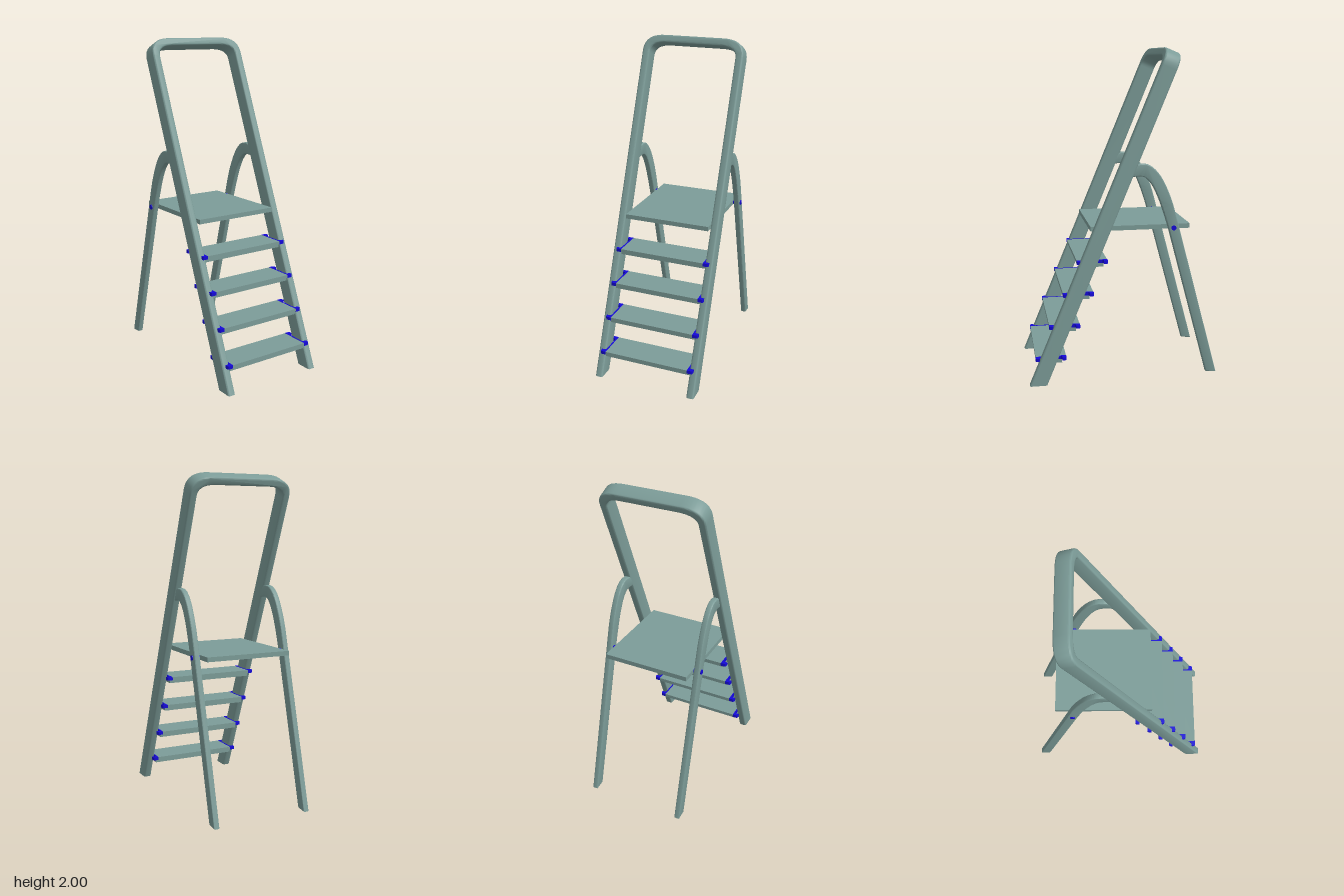
import * as THREE from 'three';
import { toCreasedNormals } from 'three/addons/utils/BufferGeometryUtils.js';

const TILT = Math.atan(0.415); // backward lean of the main frame
const metal = new THREE.MeshStandardMaterial({ color: 0x7c9c98 });
const blue = new THREE.MeshStandardMaterial({ color: 0x1408d8 });

function add(parent, name, geometry, material, x = 0, y = 0, z = 0) {
  const mesh = new THREE.Mesh(geometry, material);
  mesh.name = name;
  mesh.position.set(x, y, z);
  parent.add(mesh);
  return mesh;
}

// Extrusion of the given total depth with softened edges inside the outline
function extrude(shape, depth, bevel) {
  const geometry = new THREE.ExtrudeGeometry(shape, {
    depth: depth - 2 * bevel, curveSegments: 10, bevelEnabled: bevel > 0,
    bevelSize: bevel, bevelThickness: bevel, bevelOffset: -bevel, bevelSegments: 3,
  });
  return geometry.translate(0, 0, bevel);
}

// Leaning U-shaped frame: two stiles joined by the top handrail
function frameGeometry() {
  const s = new THREE.Shape();
  s.moveTo(0.327, 0);
  s.lineTo(0.327, 2.06);
  s.quadraticCurveTo(0.327, 2.165, 0.19, 2.165);
  s.lineTo(-0.19, 2.165);
  s.quadraticCurveTo(-0.327, 2.165, -0.327, 2.06);
  s.lineTo(-0.327, 0);
  s.lineTo(-0.28, 0);
  s.lineTo(-0.28, 2.05);
  s.quadraticCurveTo(-0.28, 2.118, -0.17, 2.118);
  s.lineTo(0.17, 2.118);
  s.quadraticCurveTo(0.28, 2.118, 0.28, 2.05);
  s.lineTo(0.28, 0);
  s.closePath();
  const g = extrude(s, 0.097, 0.01).translate(0, 0, -0.097);
  // Cut the feet level with the ground
  const p = g.attributes.position;
  for (let i = 0; i < p.count; i++) {
    if (p.getY(i) < 0.1) p.setY(i, -p.getZ(i) * Math.tan(TILT));
  }
  g.rotateX(-TILT);
  return toCreasedNormals(g, 0.6);
}

// Rear leg outline in (z, y): arched top, straight splayed foot
function rearLegGeometry() {
  const v = (pts) => pts.map(([z, y]) => new THREE.Vector2(z, y));
  const s = new THREE.Shape();
  s.moveTo(-0.02, 1.30);
  s.splineThru(v([[-0.06, 1.322], [-0.106, 1.33], [-0.16, 1.313], [-0.22, 1.245],
    [-0.28, 1.115], [-0.325, 0.96]]));
  s.lineTo(-0.58, 0.008);
  s.lineTo(-0.515, 0.014);
  s.lineTo(-0.267, 0.93);
  s.splineThru(v([[-0.236, 1.03], [-0.195, 1.14], [-0.15, 1.22], [-0.1, 1.256], [-0.02, 1.25]]));
  s.closePath();
  const g = extrude(s, 0.035, 0.006).rotateY(-Math.PI / 2).translate(0.0175, 0, 0);
  return toCreasedNormals(g, 0.6);
}

// Clamp hooked round the front and back of a stile, seen in (x, z)
function clampGeometry(side) {
  const s = new THREE.Shape();
  s.moveTo(side * 0.27, -0.093);
  s.lineTo(side * 0.27, 0.093);
  s.lineTo(side * 0.298, 0.093);
  s.quadraticCurveTo(side * 0.306, 0.093, side * 0.306, 0.068);
  s.lineTo(side * 0.29, 0.068);
  s.quadraticCurveTo(side * 0.279, 0.066, side * 0.279, 0.055);
  s.lineTo(side * 0.279, -0.055);
  s.quadraticCurveTo(side * 0.279, -0.066, side * 0.29, -0.068);
  s.lineTo(side * 0.306, -0.068);
  s.quadraticCurveTo(side * 0.306, -0.093, side * 0.298, -0.093);
  s.closePath();
  const g = extrude(s, 0.02, 0).rotateX(Math.PI / 2).translate(0, 0.01, 0);
  return toCreasedNormals(g, 0.6);
}

export function createModel() {
  const model = new THREE.Group();
  model.name = 'stepladder';

  add(model, 'mainFrame', frameGeometry(), metal, 0, 0, 0.58);
  add(model, 'platform', new THREE.BoxGeometry(0.542, 0.028, 0.605), metal, 0, 0.943, -0.102);

  // Four treads, each a thin plate on a shallower underside with a clamp at both ends
  for (let i = 0; i < 4; i++) {
    const step = new THREE.Group();
    step.name = 'step' + (i + 1);
    step.position.set(0, 0.155 + i * 0.197, 0.448 - i * 0.085);
    add(step, 'treadPlate', new THREE.BoxGeometry(0.542, 0.018, 0.184), metal, 0, 0, 0);
    add(step, 'treadUnderside', new THREE.BoxGeometry(0.556, 0.024, 0.142), metal, 0, -0.021, 0.003);
    add(step, 'leftClamp', clampGeometry(1), blue);
    add(step, 'rightClamp', clampGeometry(-1), blue);
    model.add(step);
  }

  // Rear legs and the bolts that hold the platform to them
  for (const side of [1, -1]) {
    const name = side > 0 ? 'left' : 'right';
    add(model, name + 'RearLeg', rearLegGeometry(), metal, side * 0.298, 0, 0);
    const bolt = new THREE.CylinderGeometry(0.015, 0.015, 0.055, 20).rotateZ(Math.PI / 2);
    add(model, name + 'Bolt', bolt, blue, side * 0.293, 0.942, -0.295);
  }
  return model;
}
